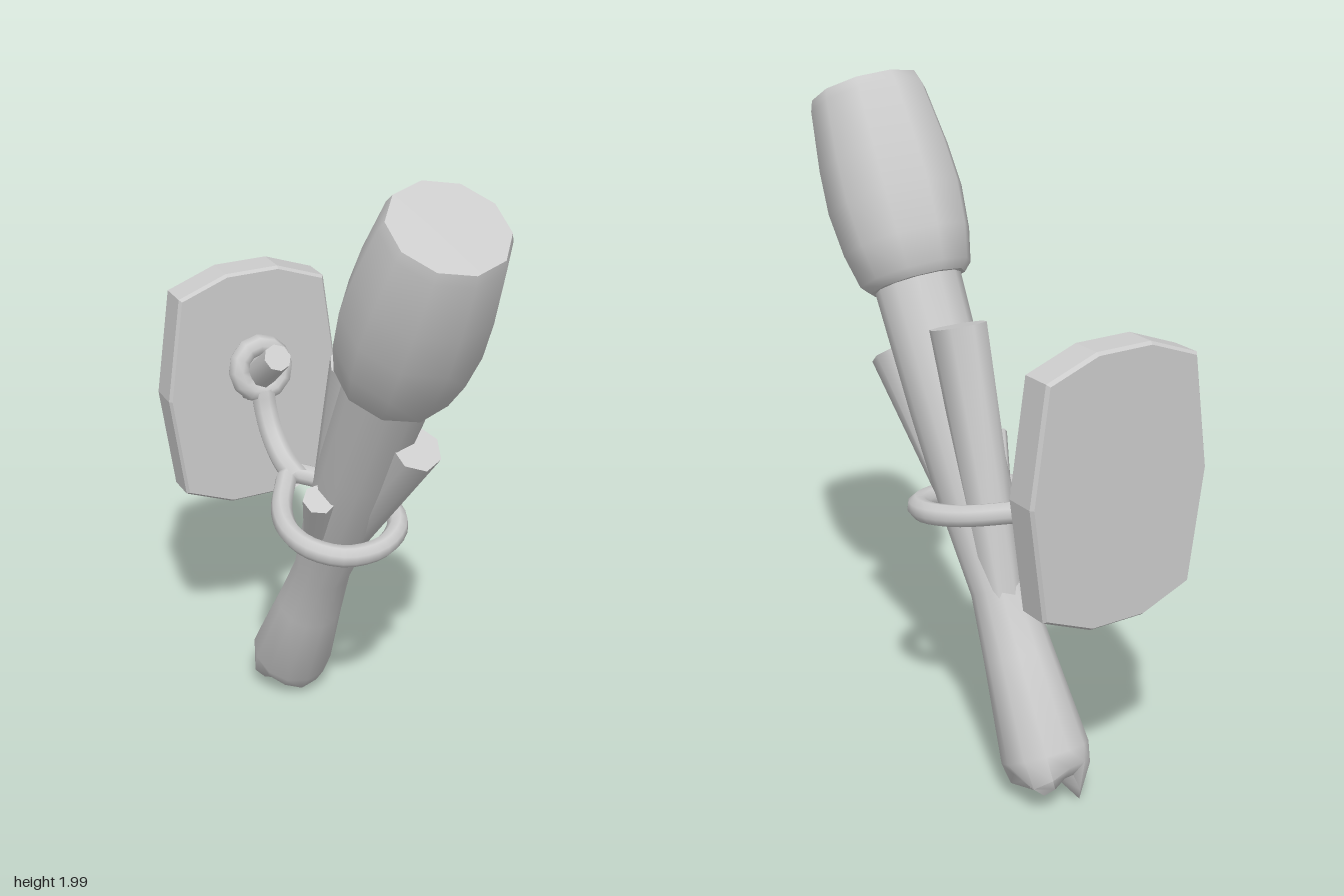
import * as THREE from 'three';
import { mergeVertices, toCreasedNormals } from 'three/addons/utils/BufferGeometryUtils.js';

const mat = new THREE.MeshStandardMaterial({ color: 0xcccccc, side: THREE.DoubleSide });
const V = (x, y, z) => new THREE.Vector3(x, y, z);

function add(parent, name, geometry) {
  const mesh = new THREE.Mesh(geometry, mat);
  mesh.name = name;
  parent.add(mesh);
  return mesh;
}

// Turned shape with edges kept sharp above the crease angle
function turned(profile, sides, crease, rule) {
  let g = new THREE.LatheGeometry(profile.map(([r, y]) => new THREE.Vector2(r, y)), sides);
  if (rule) {
    const p = g.attributes.position;
    const v = new THREE.Vector3();
    for (let i = 0; i < p.count; i++) {
      rule(v.fromBufferAttribute(p, i));
      p.setXYZ(i, v.x, v.y, v.z);
    }
  }
  g.deleteAttribute('uv');
  g.deleteAttribute('normal');
  g = mergeVertices(g, 1e-4);
  return toCreasedNormals(g, crease);
}

// Tapered round rod between two points
function rod(parent, name, a, b, ra, rb, sides) {
  const g = new THREE.CylinderGeometry(rb, ra, a.distanceTo(b), sides);
  const mesh = add(parent, name, toCreasedNormals(g, 0.9));
  mesh.position.copy(a).lerp(b, 0.5);
  mesh.quaternion.setFromUnitVectors(V(0, 1, 0), b.clone().sub(a).normalize());
  return mesh;
}

export function createModel() {
  const model = new THREE.Group();
  model.name = 'wallTorch';

  // Leaning torch, built along its own vertical axis
  const torch = new THREE.Group();
  torch.name = 'torch';
  torch.position.set(0.05, 0.09, -0.45);
  torch.rotation.x = 0.496;
  model.add(torch);

  // Handle with a ragged broken foot
  const jag = (v) => {
    const r = Math.hypot(v.x, v.z);
    if (v.y > 0.03 || r < 0.01) return;
    const a = Math.atan2(v.z, v.x);
    v.y += 0.02 * Math.sin(3 * a + 1) + 0.012 * Math.cos(5 * a);
    if (r < 0.1 && v.x < -0.03 && Math.abs(v.z) < 0.04) v.y -= 0.04;
  };
  add(torch, 'handle', turned([
    [0, 0.0], [0.07, -0.03], [0.118, 0], [0.13, 0.06], [0.103, 0.35],
    [0.088, 0.55], [0.11, 0.82], [0.122, 1.1], [0.13, 1.5],
  ], 12, 1.0, jag));

  // Wrapped barrel-shaped head
  add(torch, 'head', turned([
    [0, 1.475], [0.145, 1.475], [0.17, 1.5], [0.193, 1.6], [0.205, 1.73],
    [0.198, 1.86], [0.176, 2.04], [0.165, 2.072], [0, 2.074],
  ], 10, 0.8));

  // Split branch stubs growing out of the handle
  rod(torch, 'backStub', V(0.01, 0.5, -0.02), V(0.025, 1.3, -0.195), 0.06, 0.085, 8);
  rod(torch, 'frontStub', V(0.03, 0.75, 0.05), V(0.065, 1.305, 0.125), 0.04, 0.075, 7);
  rod(torch, 'sideStub', V(-0.05, 0.65, 0.01), V(-0.125, 1.0, 0.03), 0.035, 0.05, 7);

  // Bent iron loop around the handle
  const loop = new THREE.CatmullRomCurve3([
    V(0.0, 0.855, -0.31), V(0.09, 0.84, -0.25), V(0.175, 0.82, -0.16), V(0.217, 0.805, -0.06),
    V(0.195, 0.79, 0.03), V(0.12, 0.775, 0.092), V(0.045, 0.77, 0.105), V(-0.03, 0.775, 0.092),
    V(-0.1, 0.79, 0.03), V(-0.122, 0.805, -0.06), V(-0.1, 0.82, -0.16), V(-0.05, 0.84, -0.25),
  ], true);
  add(model, 'handleLoop', new THREE.TubeGeometry(loop, 36, 0.033, 8, true));

  // Curved stem rising to the eye ring
  const stem = new THREE.CatmullRomCurve3([
    V(0.01, 0.85, -0.28), V(0, 0.88, -0.36), V(-0.005, 0.94, -0.435),
    V(-0.008, 1.01, -0.475), V(-0.01, 1.07, -0.49),
  ]);
  add(model, 'stem', new THREE.TubeGeometry(stem, 14, 0.038, 8));

  const eye = add(model, 'eyeRing', new THREE.TorusGeometry(0.073, 0.034, 8, 12));
  eye.position.set(-0.008, 1.135, -0.507);
  eye.rotation.x = -0.22;

  // Peg slanting up from the wall plate
  rod(model, 'peg', V(-0.008, 1.04, -0.595), V(-0.008, 1.22, -0.377), 0.05, 0.043, 8);

  // Ten-sided wall plate with a thin bevel
  const half = [[0.085, 0.66], [0.235, 0.72], [0.28, 1.045], [0.235, 1.37], [0.085, 1.425]];
  const outline = [...half, ...half.map(([x, y]) => [-x, y]).reverse()];
  const plate = new THREE.ExtrudeGeometry(
    new THREE.Shape(outline.map(([x, y]) => new THREE.Vector2(x, y))),
    { depth: 0.09, bevelThickness: 0.01, bevelSize: 0.008, bevelSegments: 1 },
  );
  add(model, 'wallPlate', plate).position.z = -0.67;

  return model;
}
